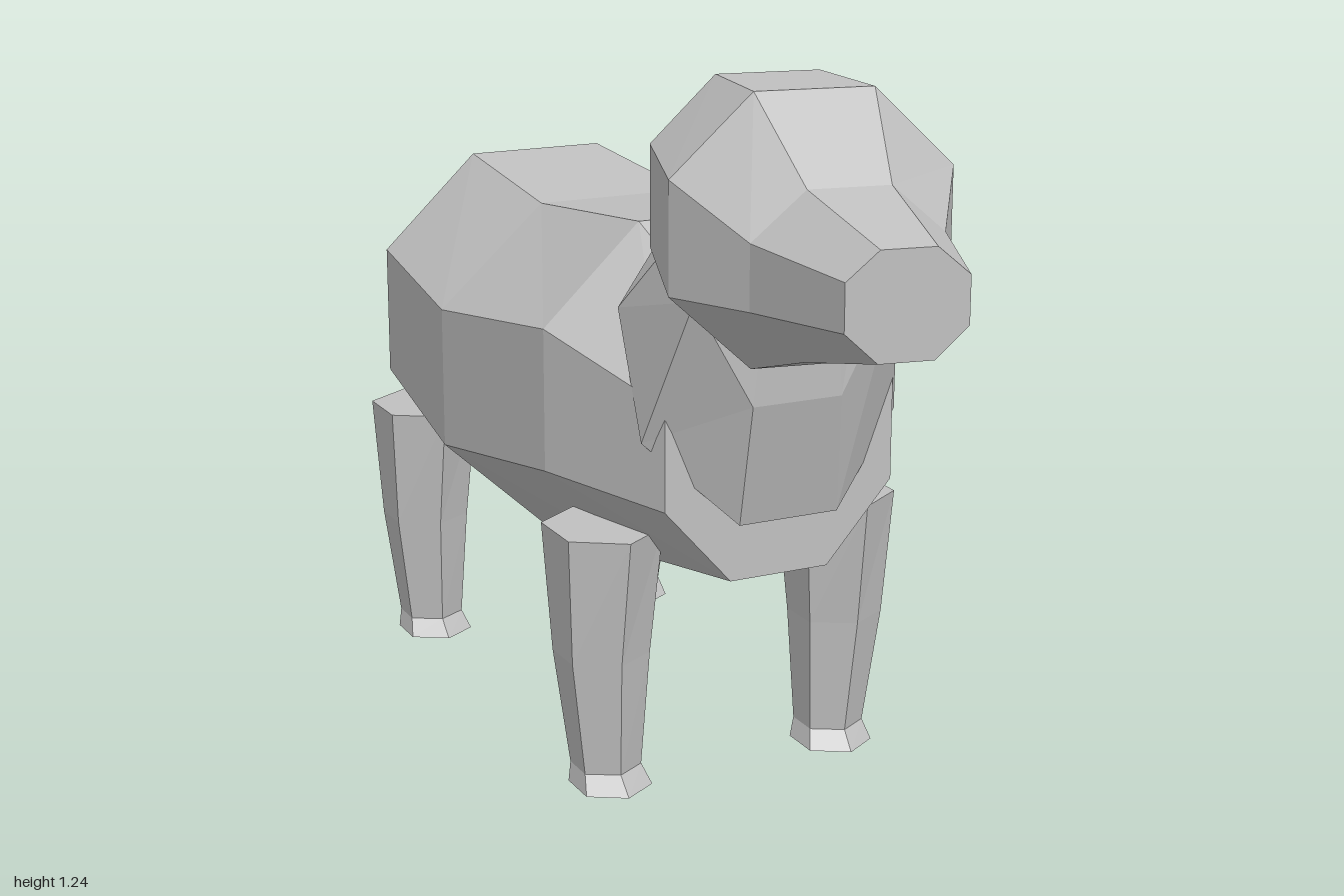
import * as THREE from 'three';

const grey = new THREE.MeshStandardMaterial({ color: 0xc0c0c0, flatShading: true });
grey.name = 'light grey';

// Skins a row of equal-length rings and caps both ends.
function loft(name, rings) {
  const pos = [];
  const tri = (...pts) => pts.forEach((p) => pos.push(...p));
  const n = rings[0].length;
  for (let k = 0; k < rings.length - 1; k++) {
    const a = rings[k], b = rings[k + 1];
    for (let i = 0; i < n; i++) {
      const j = (i + 1) % n;
      tri(a[i], a[j], b[j]);
      tri(a[i], b[j], b[i]);
    }
  }
  const first = rings[0], last = rings[rings.length - 1];
  for (let i = 1; i < n - 1; i++) {
    tri(first[0], first[i + 1], first[i]);
    tri(last[0], last[i], last[i + 1]);
  }
  const geo = new THREE.BufferGeometry();
  geo.setAttribute('position', new THREE.Float32BufferAttribute(pos, 3));
  geo.computeVertexNormals();
  const mesh = new THREE.Mesh(geo, grey);
  mesh.name = name;
  return mesh;
}

// Eight-sided ring; heights and depths run bottom, lower side, upper side, top.
function octagon(cx, half, inner, ys, zs, yaw = 0) {
  const z = Array.isArray(zs) ? zs : [zs, zs, zs, zs];
  const corners = [[half, 1], [half, 2], [inner, 3], [-inner, 3], [-half, 2], [-half, 1], [-inner, 0], [inner, 0]];
  return corners.map(([x, r]) => [cx + x, ys[r], z[r] + x * Math.tan(yaw)]);
}

// Six-sided leg on a slightly wider foot
function leg(name, side, dz) {
  const rows = [
    // y, centre x, half width, front z, back z
    [0, 0.218, 0.062, 0.33, 0.18],
    [0.032, 0.22, 0.053, 0.302, 0.18],
    [0.24, 0.228, 0.072, 0.325, 0.16],
    [0.465, 0.225, 0.087, 0.355, 0.13],
  ];
  return loft(name, rows.map(([y, cx, w, f, b]) => {
    const c = side * cx, m = (f + b) / 2, q = (f - b) / 4;
    return [[c + w, y, m + q], [c + w, y, m - q], [c, y, b], [c - w, y, m - q], [c - w, y, m + q], [c, y, f]]
      .map(([x, h, z]) => [x, h, z + dz]);
  }));
}

export function createModel() {
  const model = new THREE.Group();
  model.name = 'animal';

  // Barrel body, rump to chest
  model.add(loft('body', [
    octagon(0, 0.20, 0.09, [0.41, 0.53, 0.70, 0.815], -0.82),
    octagon(0, 0.31, 0.13, [0.37, 0.555, 0.79, 0.96], -0.54),
    octagon(0, 0.34, 0.145, [0.325, 0.505, 0.755, 0.93], -0.18),
    octagon(0, 0.305, 0.13, [0.38, 0.555, 0.80, 0.965], 0.19),
    octagon(0, 0.21, 0.09, [0.41, 0.545, 0.72, 0.82], 0.45),
  ]));

  // Sloping neck ending inside the head
  model.add(loft('neck', [
    octagon(0, 0.235, 0.09, [0.515, 0.655, 0.86, 1.0], [0.48, 0.415, 0.33, 0.26]),
    octagon(-0.02, 0.182, 0.08, [0.73, 0.91, 0.985, 1.14], [0.54, 0.535, 0.45, 0.42]),
    octagon(-0.02, 0.12, 0.06, [0.93, 0.98, 1.06, 1.12], [0.55, 0.54, 0.5, 0.46]),
  ]));

  // Head turned a little to its right, tapering to the muzzle
  const yaw = 0.177;
  model.add(loft('head', [
    octagon(-0.01, 0.19, 0.085, [0.85, 0.965, 1.13, 1.235], 0.41, yaw),
    octagon(-0.036, 0.225, 0.095, [0.808, 0.93, 1.11, 1.237], 0.605, yaw),
    octagon(-0.06, 0.15, 0.065, [0.855, 0.937, 1.04, 1.115], 0.755, yaw),
    octagon(-0.098, 0.092, 0.042, [0.91, 0.957, 1.03, 1.073], 0.984, yaw),
  ]));

  // Drooping tail, tip to root
  const tailRows = [[-0.035, 0.50, -1.0, 0.02, 0.02], [-0.015, 0.645, -0.915, 0.033, 0.042], [-0.005, 0.74, -0.81, 0.047, 0.05]];
  model.add(loft('tail', tailRows.map(([x, y, z, w, h]) =>
    [[x + w, y, z], [x + w * 0.4, y + h, z], [x - w * 0.4, y + h, z],
      [x - w, y, z], [x - w * 0.4, y - h, z], [x + w * 0.4, y - h, z]])));

  // Four legs
  for (const [label, side] of [['Left', 1], ['Right', -1]]) {
    model.add(leg('front' + label + 'Leg', side, 0));
    model.add(leg('back' + label + 'Leg', side, -0.83));
  }
  return model;
}
